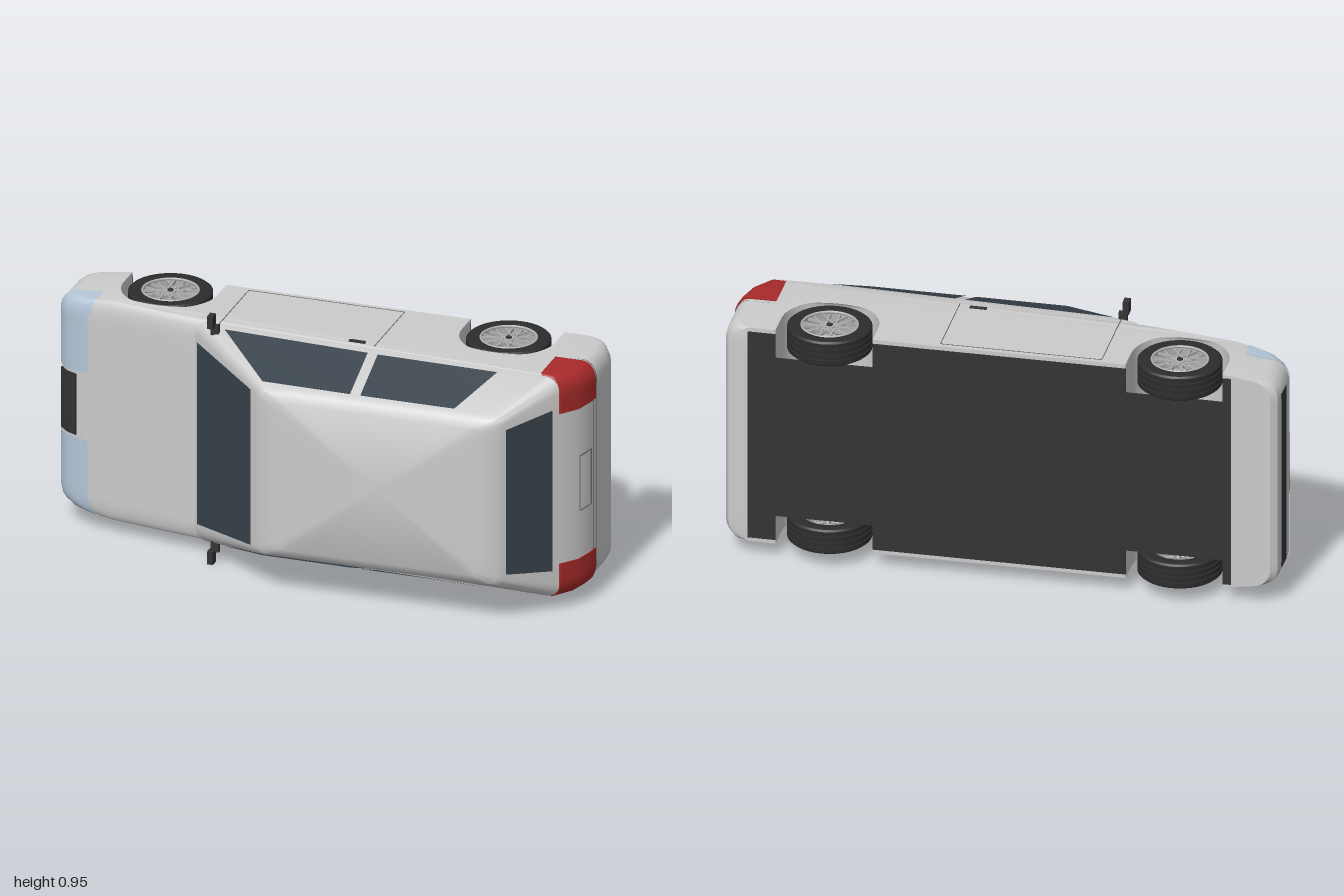
import * as THREE from 'three';
import { toCreasedNormals } from 'three/addons/utils/BufferGeometryUtils.js';

const mat = (color, side = THREE.FrontSide) => new THREE.MeshStandardMaterial({ color, side });
const paint = mat(0xcccccc), dark = mat(0x333333), rubber = mat(0x2c2c2c), seam = mat(0x666666);
const glass = mat(0x38424a, THREE.DoubleSide), red = mat(0xa82a2a), lamp = mat(0xb4c6d8);
const rimMat = mat(0xb0b0b0, THREE.DoubleSide);
const { lerp, clamp, smoothstep } = THREE.MathUtils;

const HALF = 0.42;                    // half width of the body
const WHEELS = [-0.625, 0.635];       // axle positions
const AXLE_Y = -0.19;

function add(parent, name, geometry, material, x = 0, y = 0, z = 0) {
  const m = new THREE.Mesh(geometry, material);
  m.name = name;
  m.position.set(x, y, z);
  parent.add(m);
  return m;
}
const box = (parent, name, material, size, pos) =>
  add(parent, name, new THREE.BoxGeometry(...size), material, ...pos);

// Side profile swept across the car; corners rounded in plan, shoulders softened, nose narrowed
function slab(points, z0, z1, steps) {
  const shape = new THREE.Shape(points.map(p => new THREE.Vector2(...p)));
  const g = new THREE.ExtrudeGeometry(shape, { depth: 1, steps, bevelEnabled: false });
  const p = g.attributes.position;
  for (let i = 0; i < p.count; i++) {
    let x = p.getX(i), y = p.getY(i);
    let z = lerp(z0, z1, (1 - Math.cos(Math.PI * p.getZ(i))) / 2);
    const t = clamp((Math.abs(z) - 0.35) / 0.07, 0, 1);
    const inset = 0.07 * (1 - Math.sqrt(1 - t * t));
    z *= 1 - 0.04 * smoothstep(-x, 0.76, 1);
    const end = smoothstep(Math.abs(x), 0.8, 0.96);
    y -= inset * 0.3 * smoothstep(y, -0.06, 0);
    x -= Math.sign(x) * inset * end * (x > 0 ? 0.7 : 1);
    p.setXYZ(i, x, y, z);
  }
  return toCreasedNormals(g, 0.6);
}

function arch(cx) {
  const pts = [[cx - 0.175, -0.285]];
  for (let i = 0; i <= 24; i++) {
    const a = Math.PI * (1 - i / 24);
    pts.push([cx + 0.175 * Math.cos(a), AXLE_Y + 0.17 * Math.sin(a)]);
  }
  pts.push([cx + 0.175, -0.285]);
  return pts;
}

// Closed ring with rounded corners; height runs from yF at the front to yR at the rear
function cabinRing(x0, x1, w, r, yF, yR) {
  const pts = [];
  const corners = [[x1 - r, w - r], [x0 + r, w - r], [x0 + r, r - w], [x1 - r, r - w]];
  corners.forEach(([cx, cz], k) => {
    for (let i = 0; i <= 5; i++) {
      const a = (k + i / 5) * Math.PI / 2;
      pts.push([cx + r * Math.cos(a), cz + r * Math.sin(a)]);
    }
    const [nx, nz] = corners[(k + 1) % 4], a = (k + 1) * Math.PI / 2;
    for (let i = 1; i < 10; i++) {
      pts.push([lerp(cx, nx, i / 10) + r * Math.cos(a), lerp(cz, nz, i / 10) + r * Math.sin(a)]);
    }
  });
  return pts.map(([x, z]) => [x, lerp(yF, yR, (x - x0) / (x1 - x0)), z]);
}

function cabinGeometry() {
  const rings = [
    cabinRing(-0.45, 0.925, 0.415, 0.05, 0.01, 0.06),
    cabinRing(-0.45, 0.93, 0.418, 0.05, 0.05, 0.11),
    cabinRing(-0.14, 0.785, 0.325, 0.03, 0.297, 0.288),
    cabinRing(-0.115, 0.762, 0.312, 0.03, 0.32, 0.312),
    cabinRing(-0.05, 0.70, 0.28, 0.03, 0.337, 0.33)];
  const n = rings[0].length, pos = rings.flat(2), idx = [];
  for (let k = 0; k < rings.length - 1; k++) {
    for (let i = 0; i < n; i++) {
      const a = k * n + i, b = k * n + (i + 1) % n;
      idx.push(a, a + n, b, b, a + n, b + n);
    }
  }
  const last = (rings.length - 1) * n, centre = pos.length / 3;
  pos.push(0.325, 0.335, 0);
  for (let i = 0; i < n; i++) idx.push(last + i, centre, last + (i + 1) % n);
  const g = new THREE.BufferGeometry();
  g.setAttribute('position', new THREE.Float32BufferAttribute(pos, 3));
  g.setIndex(idx);
  return toCreasedNormals(g, 0.6);
}

function pane(parent, name, corners) {
  const g = new THREE.BufferGeometry();
  g.setAttribute('position', new THREE.Float32BufferAttribute(corners.flat(), 3));
  g.setIndex([0, 1, 2, 0, 2, 3]);
  g.computeVertexNormals();
  add(parent, name, g, glass);
}

// Point on the sloping side of the cabin
function onSide([x, y], s) {
  const belt = 0.05 + 0.06 * (x + 0.45) / 1.38;
  const t = (y - belt) / (0.293 - belt);
  return [x, y + 0.002, s * (0.418 - 0.093 * t + 0.005)];
}

function wheel() {
  const g = new THREE.Group();
  // Grooved tyre
  const prof = [[0.1, -0.045], [0.125, -0.05], [0.143, -0.047]];
  for (let i = 0; i < 4; i++) {
    const z = -0.041 + i * 0.022;
    prof.push([0.15, z], [0.15, z + 0.016], [0.145, z + 0.017], [0.145, z + 0.021]);
  }
  prof.splice(-2, 2);
  prof.push([0.143, 0.047], [0.125, 0.05], [0.1, 0.045], [0.1, -0.045]);
  const tyre = new THREE.LatheGeometry(prof.map(p => new THREE.Vector2(...p)), 48);
  add(g, 'tyre', toCreasedNormals(tyre.rotateX(Math.PI / 2), 0.5), rubber);
  // Open rim with lip, hub and crossed spokes
  add(g, 'rimBarrel', new THREE.CylinderGeometry(0.099, 0.099, 0.086, 40, 1, true).rotateX(Math.PI / 2), rimMat);
  add(g, 'rimLip', new THREE.TorusGeometry(0.099, 0.005, 8, 48), rimMat, 0, 0, 0.044);
  add(g, 'hub', new THREE.CylinderGeometry(0.02, 0.022, 0.03, 20).rotateX(Math.PI / 2), rimMat, 0, 0, 0.028);
  add(g, 'hubCap', new THREE.CylinderGeometry(0.011, 0.011, 0.006, 16).rotateX(Math.PI / 2), dark, 0, 0, 0.044);
  for (let i = 0; i < 10; i++) {
    for (const tilt of [-0.32, 0.32]) {
      const arm = new THREE.Group();
      arm.rotation.z = i * Math.PI / 5;
      box(arm, 'spoke', rimMat, [0.088, 0.005, 0.01], [0.057, 0, 0.034]).rotation.z = tilt;
      g.add(arm);
    }
  }
  return g;
}

export function createModel() {
  const model = new THREE.Group();
  model.name = 'car';
  const car = new THREE.Group();
  car.name = 'carOnItsSide';
  car.rotation.x = Math.PI / 2;
  car.position.y = 0.475;
  model.add(car);

  // Lower body with open wheel arches
  const profile = [[-1, -0.11], [-1, -0.24], [-0.993, -0.268], [-0.97, -0.285],
    ...arch(WHEELS[0]), ...arch(WHEELS[1]),
    [0.95, -0.285], [0.982, -0.272], [0.997, -0.245], [1, -0.2], [1, -0.07], [0.995, -0.02],
    [0.977, 0.05], [0.93, 0.11], [0.86, 0.107], [-0.45, 0.05], [-0.6, 0.027], [-0.78, -0.002],
    [-0.87, -0.018], [-0.92, -0.03], [-0.96, -0.05], [-0.988, -0.08]];
  add(car, 'lowerBody', slab(profile, -HALF, HALF, 28), paint);
  add(car, 'cabin', cabinGeometry(), paint);

  // Floor pan, narrower between the wheels
  box(car, 'floorPan', dark, [1.74, 0.008, 0.62], [0.04, -0.284, 0]);
  for (const [a, b] of [[-0.83, -0.8], [-0.45, 0.46], [0.81, 0.91]]) {
    box(car, 'floorSection', dark, [b - a, 0.008, 0.81], [(a + b) / 2, -0.284, 0]);
  }

  // Windscreen and rear window
  pane(car, 'windscreen', [[-0.434, 0.072, 0.348], [-0.434, 0.072, -0.348],
    [-0.158, 0.292, -0.298], [-0.158, 0.292, 0.298]]);
  pane(car, 'rearWindow', [[0.914, 0.138, -0.308], [0.914, 0.138, 0.308],
    [0.793, 0.288, 0.277], [0.793, 0.288, -0.277]]);

  // Grille, lower intake, rear seams and plate outline
  add(car, 'grille', slab([[-0.995, -0.08], [-0.964, -0.046], [-0.92, -0.024], [-0.92, -0.06], [-0.97, -0.09]],
    -0.12, 0.12, 2), dark);
  box(car, 'lowerIntake', dark, [0.01, 0.075, 0.68], [-0.998, -0.2, 0]);
  for (const y of [-0.05, -0.08]) {
    add(car, 'rearSeam', slab([[0.9, y - 0.0015], [1.002, y - 0.0015], [1.002, y + 0.0015], [0.9, y + 0.0015]],
      -HALF, HALF, 24), seam);
  }
  for (const s of [-1, 1]) {
    box(car, 'plateEdge', seam, [0.004, 0.07, 0.003], [0.99, 0.004, s * 0.105]).rotation.z = 0.2;
    box(car, 'plateEdge', seam, [0.006, 0.003, 0.21], [s > 0 ? 0.98 : 0.997, 0.004 + s * 0.035, 0]);
  }

  // Parts repeated on both sides
  for (const s of [-1, 1]) {
    const span = (a, b) => s > 0 ? [a, b] : [-b, -a];
    add(car, 'tailLight', slab([[0.87, -0.065], [1.001, -0.065], [0.996, -0.02], [0.978, 0.05],
      [0.931, 0.113], [0.87, 0.111]], ...span(0.285, HALF), 14), red).scale.set(1.003, 1, 1.008);
    add(car, 'headlight', slab([[-0.86, -0.105], [-0.86, -0.017], [-0.92, -0.029], [-0.96, -0.049],
      [-0.988, -0.079], [-1, -0.105]], ...span(0.13, HALF), 16), lamp).scale.set(1.003, 0.985, 1.004);
    pane(car, 'frontSideWindow', [[-0.33, 0.075], [0.212, 0.1], [0.212, 0.288], [-0.115, 0.285]].map(p => onSide(p, s)));
    pane(car, 'rearSideWindow', [[0.25, 0.102], [0.7, 0.115], [0.6, 0.288], [0.25, 0.288]].map(p => onSide(p, s)));
    for (const x of [-0.36, 0.22]) box(car, 'doorSeam', seam, [0.003, 0.32, 0.002], [x, -0.105, s * HALF]);
    box(car, 'sillSeam', seam, [0.58, 0.003, 0.002], [-0.07, -0.265, s * HALF]);
    box(car, 'doorHandle', dark, [0.06, 0.014, 0.008], [0.15, 0.035, s * HALF]);
    box(car, 'mirror', dark, [0.022, 0.036, 0.048], [-0.37, 0.102, s * 0.451]);
    box(car, 'mirrorArm', dark, [0.03, 0.014, 0.04], [-0.36, 0.09, s * 0.415]);
    for (const x of WHEELS) {
      const w = wheel();
      w.name = x < 0 ? 'frontWheel' : 'rearWheel';
      w.position.set(x, AXLE_Y, s * 0.37);
      if (s < 0) w.rotation.y = Math.PI;
      car.add(w);
    }
  }
  return model;
}
